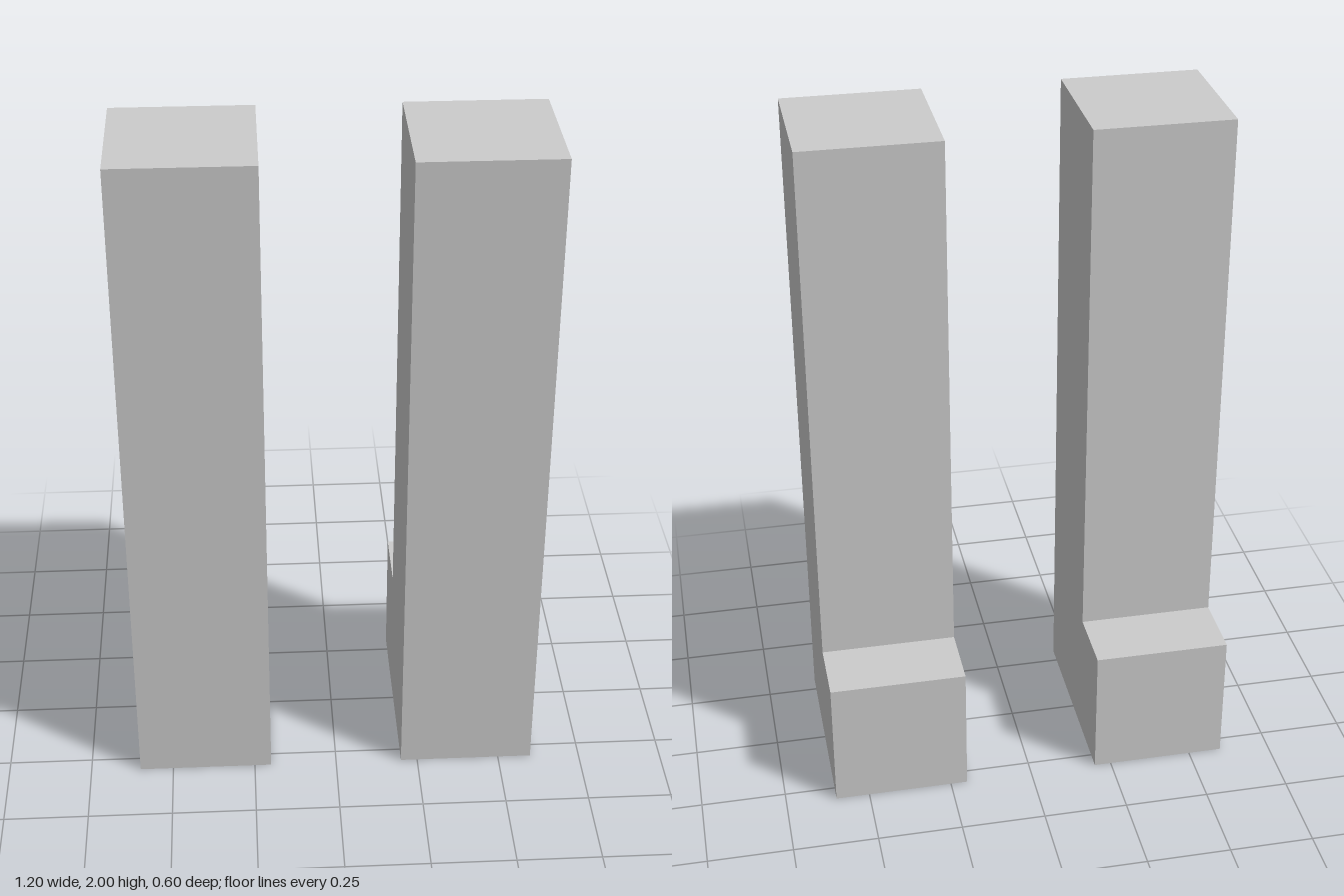
import * as THREE from 'three';

const WIDTH = 0.4;

// L-shaped side profile: tall shaft with a low toe pointing to -z
function legGeometry() {
  const profile = new THREE.Shape([
    [-0.3, 0], [0.3, 0], [0.3, 0.4], [0.1, 0.4], [0.1, 2], [-0.3, 2],
  ].map(([x, y]) => new THREE.Vector2(x, y)));
  const geometry = new THREE.ExtrudeGeometry(profile, { depth: WIDTH, bevelEnabled: false });
  geometry.translate(0, 0, -WIDTH / 2);
  geometry.rotateY(Math.PI / 2); // profile x becomes -z, depth becomes x
  return geometry;
}

export function createModel() {
  const group = new THREE.Group();
  group.name = 'legs';
  const material = new THREE.MeshStandardMaterial({ color: 0xcccccc, flatShading: true });
  const geometry = legGeometry();

  // Matching pair of legs
  for (const [name, x] of [['leftLeg', 0.4], ['rightLeg', -0.4]]) {
    const leg = new THREE.Mesh(geometry, material);
    leg.name = name;
    leg.position.x = x;
    group.add(leg);
  }
  return group;
}
